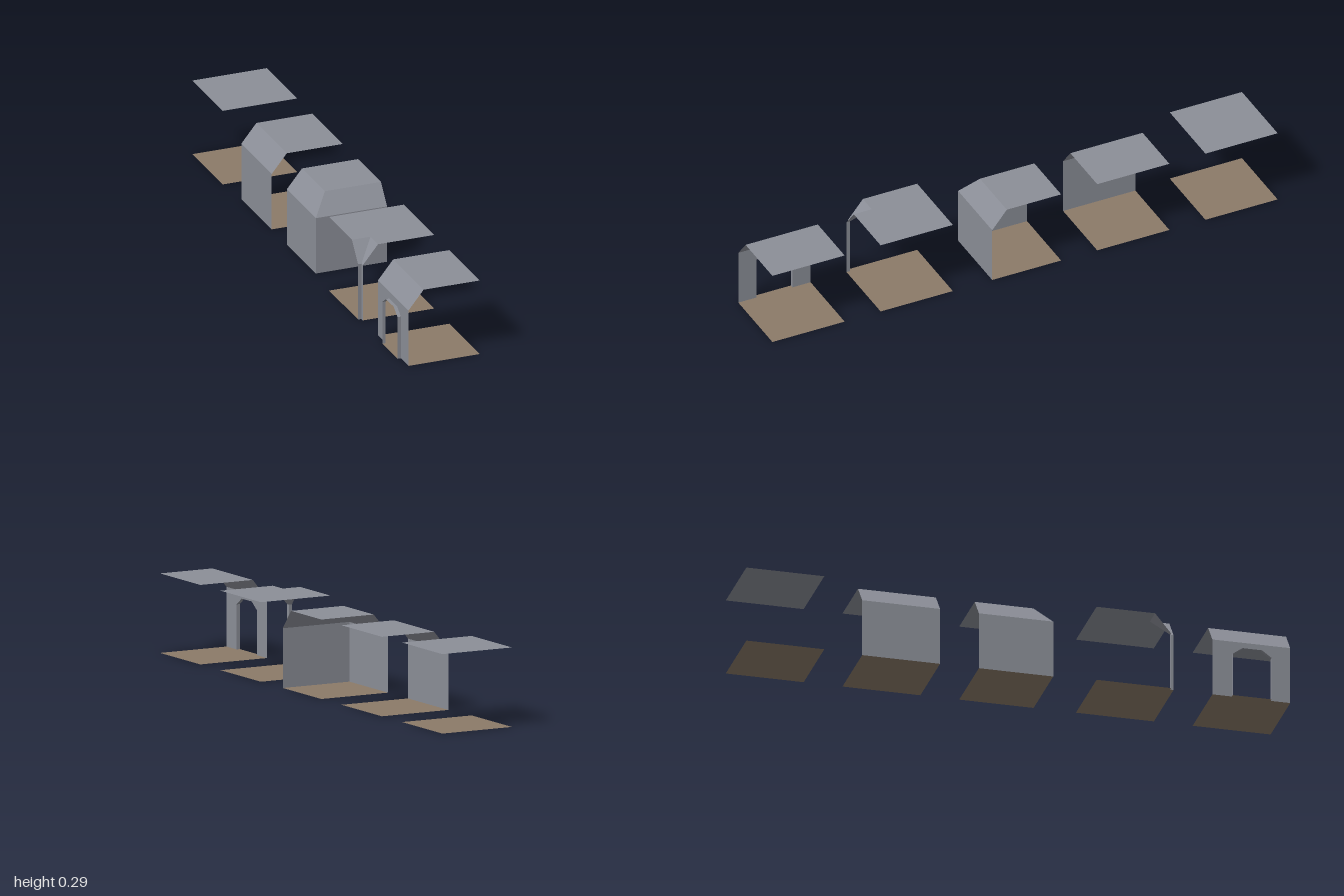
import * as THREE from 'three';

// Shared dimensions of one tunnel tile
const H = 0.143;      // half tile and module edge
const T = 0.286;      // ceiling height
const S = 0.215;      // height where the wall starts to slope
const W = -0.13;      // wall plane
const C = -0.072;     // ceiling edge above the slope

const stone = new THREE.MeshStandardMaterial({ color: 0x8b8e97, side: THREE.DoubleSide });
stone.name = 'grey stone';
const earth = new THREE.MeshStandardMaterial({ color: 0x8b7a68, side: THREE.DoubleSide });
earth.name = 'brown earth';

// Flat polygon, fanned from its first corner
function face(parent, name, material, points) {
  const index = [];
  for (let i = 1; i < points.length - 1; i++) index.push(0, i, i + 1);
  const geometry = new THREE.BufferGeometry();
  geometry.setAttribute('position', new THREE.Float32BufferAttribute(points.flat(), 3));
  geometry.setIndex(index);
  geometry.computeVertexNormals();
  const mesh = new THREE.Mesh(geometry, material);
  mesh.name = name;
  parent.add(mesh);
}

// Horizontal polygon from [x, z] corners, ordered to face up
const level = (parent, name, material, y, corners) =>
  face(parent, name, material, corners.map(([x, z]) => [x, y, z]));

const rect = (x0, x1, z0, z1) => [[x0, z0], [x0, z1], [x1, z1], [x1, z0]];

function tile(parent, name, z) {
  const group = new THREE.Group();
  group.name = name;
  group.position.z = z;
  parent.add(group);
  return group;
}

// Sloped panel between the side wall and the ceiling
const sideSlope = (g, zLow0, zLow1, zTop0, zTop1) =>
  face(g, 'sideSlope', stone, [[W, S, zLow0], [W, S, zLow1], [C, T, zTop1], [C, T, zTop0]]);

const sideWall = (g, z0, z1) =>
  face(g, 'sideWall', stone, [[W, 0, z0], [W, 0, z1], [W, S, z1], [W, S, z0]]);

export function createModel() {
  const model = new THREE.Group();
  model.name = 'tunnelTiles';

  // Open tile: floor and ceiling only
  const open = tile(model, 'openTile', -0.857);
  level(open, 'floor', earth, 0, rect(-H, H, -H, H));
  level(open, 'ceiling', stone, T, rect(-H, H, -H, H));

  // Straight wall tile
  const straight = tile(model, 'wallTile', -0.4286);
  level(straight, 'floor', earth, 0, rect(W, H, -H, H));
  level(straight, 'ceiling', stone, T, rect(C, H, -H, H));
  sideWall(straight, -H, H);
  sideSlope(straight, -H, H, -H, H);

  // Inner corner tile: two walls meeting in a mitred slope
  const inner = tile(model, 'innerCornerTile', 0);
  level(inner, 'floor', earth, 0, rect(W, H, -H, -W));
  level(inner, 'ceiling', stone, T, rect(C, H, -H, -C));
  sideWall(inner, -H, -W);
  sideSlope(inner, -H, -W, -H, -C);
  face(inner, 'frontWall', stone, [[W, 0, -W], [H, 0, -W], [H, S, -W], [W, S, -W]]);
  face(inner, 'frontSlope', stone, [[W, S, -W], [H, S, -W], [H, T, -C], [C, T, -C]]);

  // Outer corner tile: a thin post flaring up into a notched ceiling
  const outer = tile(model, 'outerCornerTile', 0.4286);
  const notched = (e) => [[e, -e], [e, H], [H, H], [H, -H], [-H, -H], [-H, -e]];
  level(outer, 'floor', earth, 0, notched(W));
  level(outer, 'ceiling', stone, T, notched(C));
  sideWall(outer, -W, H);
  sideSlope(outer, -W, H, -C, H);
  face(outer, 'frontWall', stone, [[-H, 0, -W], [W, 0, -W], [W, S, -W], [-H, S, -W]]);
  face(outer, 'frontSlope', stone, [[-H, S, -W], [W, S, -W], [C, T, -C], [-H, T, -C]]);

  // Doorway tile: wall with a chamfered arch and a shallow reveal
  const door = tile(model, 'doorwayTile', 0.857);
  const arch = [[-0.0714, 0], [-0.0714, 0.162], [-0.0357, 0.188],
    [0.0357, 0.188], [0.0714, 0.162], [0.0714, 0]];
  level(door, 'floor', earth, 0, rect(W, H, -H, H));
  level(door, 'threshold', earth, 0, rect(-H, W, -0.0714, 0.0714));
  level(door, 'ceiling', stone, T, rect(C, H, -H, H));
  sideSlope(door, -H, H, -H, H);
  const outline = [[-H, 0], ...arch, [H, 0], [H, S], [-H, S]];
  const shape = new THREE.Shape(outline.map(([z, y]) => new THREE.Vector2(-z, y)));
  const wall = new THREE.Mesh(new THREE.ShapeGeometry(shape).rotateY(Math.PI / 2), stone);
  wall.name = 'archedWall';
  wall.position.x = W;
  door.add(wall);
  for (let i = 0; i < arch.length - 1; i++) {
    const [z0, y0] = arch[i], [z1, y1] = arch[i + 1];
    face(door, 'archReveal', stone, [[W, y0, z0], [W, y1, z1], [-H, y1, z1], [-H, y0, z0]]);
  }

  return model;
}
